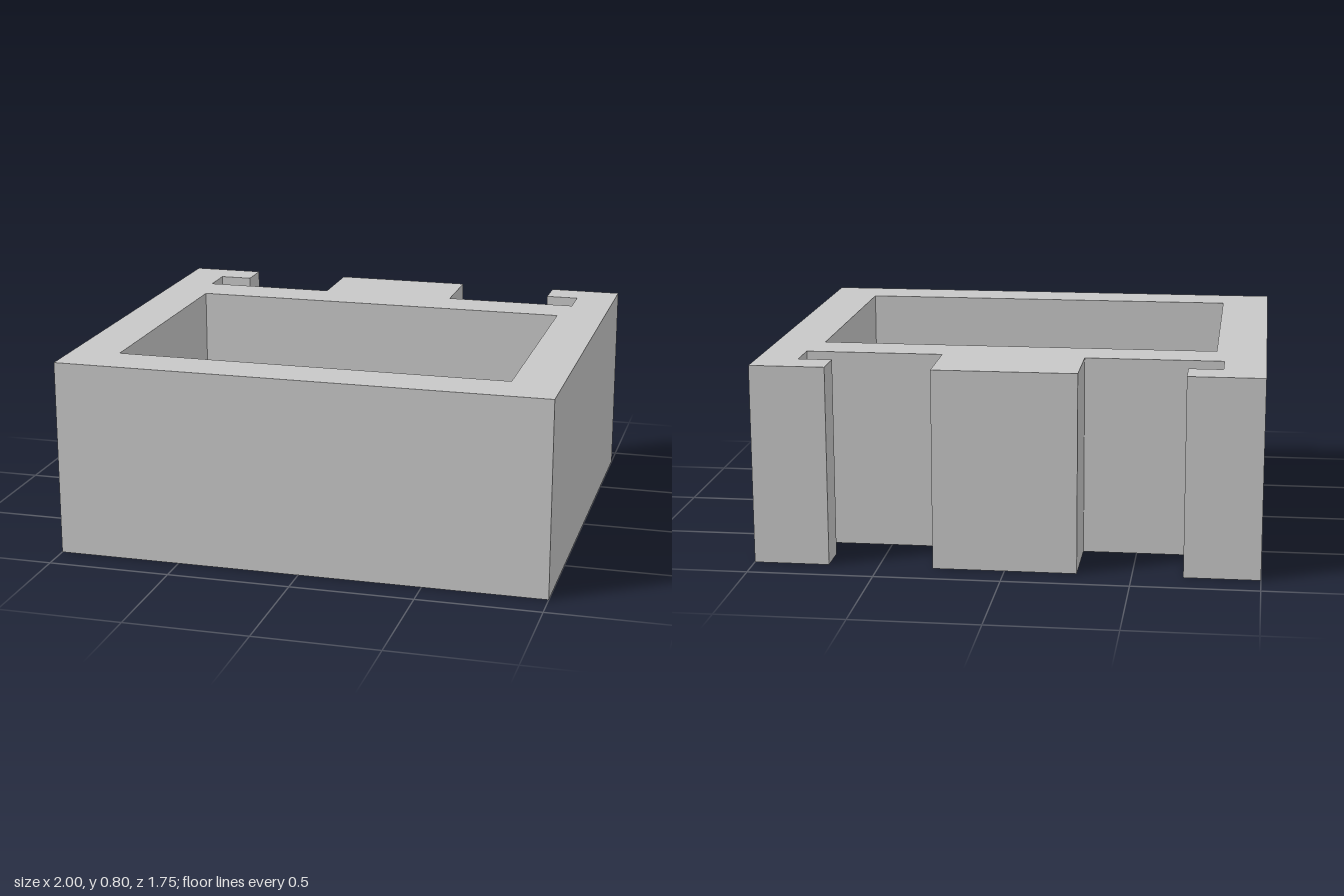
import * as THREE from 'three';

const HEIGHT = 0.8;

export function createModel() {
  const group = new THREE.Group();
  group.name = 'slottedFrame';
  const grey = new THREE.MeshStandardMaterial({ color: 0xc8c8c8 });
  grey.name = 'lightGrey';

  // Right half of the plan outline as [x, z], from the back tongue round to the front
  const half = [
    [0.285, -0.873], [0.285, -0.582], // central tongue
    [0.835, -0.582], [0.835, -0.731], // slot behind the hook
    [0.7, -0.731], [0.7, -0.873],     // hook lip
    [1, -0.873], [1, 0.873],          // outer wall
  ];
  const mirrored = half.map(([x, z]) => [-x, z]).reverse();
  const toPoints = (list) => list.map(([x, z]) => new THREE.Vector2(x, -z));
  const plan = new THREE.Shape(toPoints([...half, ...mirrored]));

  // Rectangular opening right through the frame, wound against the outline
  plan.holes.push(new THREE.Path(toPoints([
    [-0.8, 0.673], [0.8, 0.673], [0.8, -0.393], [-0.8, -0.393],
  ])));

  // Stand the plan up along y
  const geometry = new THREE.ExtrudeGeometry(plan, { depth: HEIGHT, bevelEnabled: false });
  geometry.rotateX(-Math.PI / 2);

  const frame = new THREE.Mesh(geometry, grey);
  frame.name = 'frameWithTongueAndHooks';
  group.add(frame);
  return group;
}
